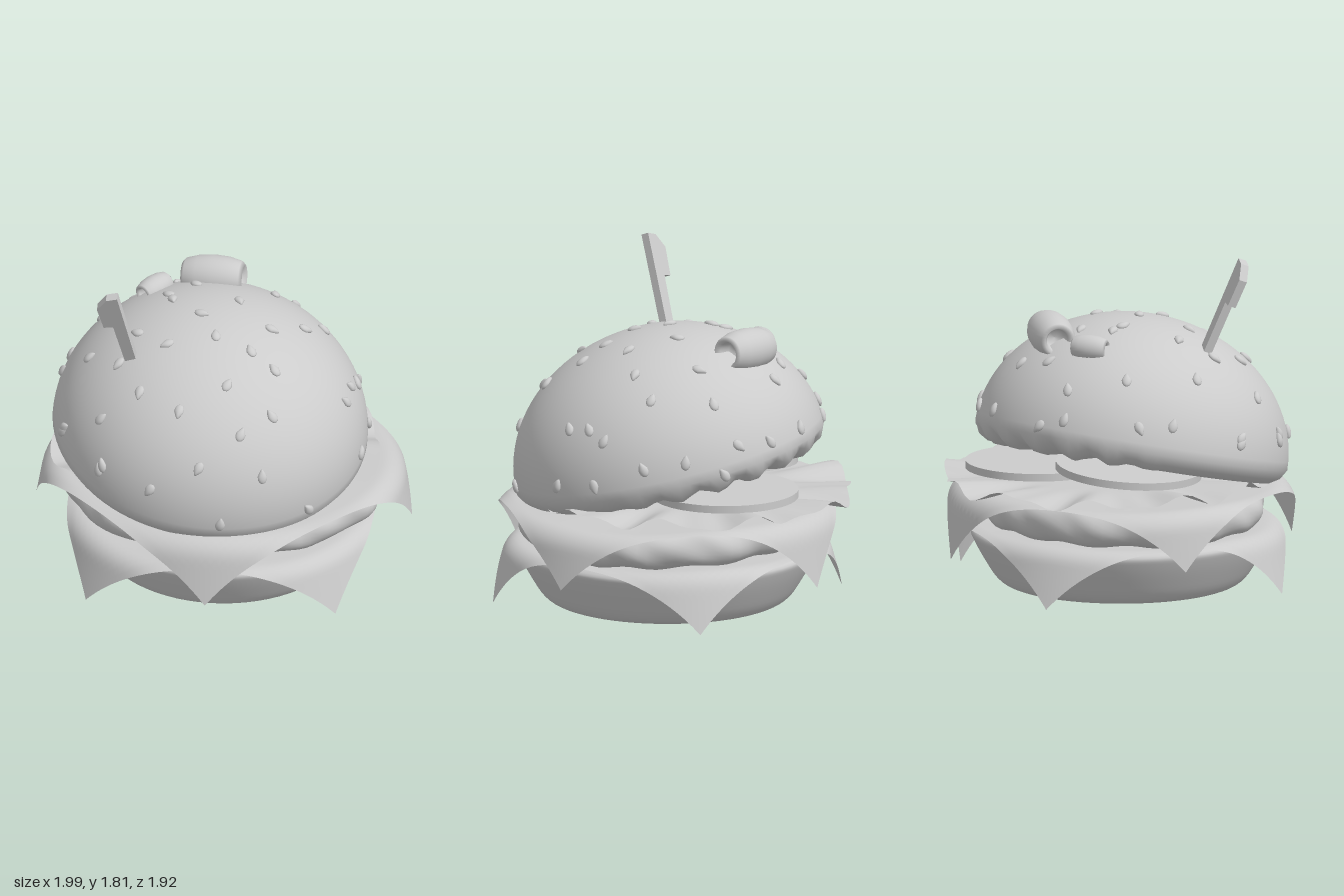
import * as THREE from 'three';
import { mergeVertices } from 'three/addons/utils/BufferGeometryUtils.js';

const mat = new THREE.MeshStandardMaterial({ color: 0xcccccc });
const sheetMat = new THREE.MeshStandardMaterial({ color: 0xcccccc, side: THREE.DoubleSide });

function mesh(name, geometry, material = mat) {
  const m = new THREE.Mesh(geometry, material);
  m.name = name;
  return m;
}

// Move every vertex by a rule, then weld and smooth
function reshape(g, rule) {
  const p = g.attributes.position, v = new THREE.Vector3();
  for (let i = 0; i < p.count; i++) {
    rule(v.fromBufferAttribute(p, i));
    p.setXYZ(i, v.x, v.y, v.z);
  }
  g.deleteAttribute('uv');
  g.deleteAttribute('normal');
  const w = mergeVertices(g, 1e-4);
  w.computeVertexNormals();
  return w;
}

const vec2 = (pts) => pts.map(([x, y]) => new THREE.Vector2(x, y));
const lathe = (pts, n = 64) => new THREE.LatheGeometry(vec2(pts), n);

// Square slice, flat in the middle and folding down beyond radius (rx, rz)
function cheese(name, half, turn, y, rx, rz, bend, maxAngle) {
  const g = new THREE.PlaneGeometry(2 * half, 2 * half, 48, 48).rotateX(-Math.PI / 2).rotateY(turn);
  return mesh(name, reshape(g, (v) => {
    const r = Math.hypot(v.x, v.z), a = Math.atan2(v.z, v.x);
    const r0 = Math.hypot(rx * Math.cos(a), rz * Math.sin(a));
    v.y = y + 0.006 * Math.sin(a * 5) * r;
    if (r <= r0) return;
    const t = Math.min((r - r0) / bend, maxAngle);
    const rest = r - r0 - t * bend;
    const out = r0 + bend * Math.sin(t) + rest * Math.cos(maxAngle);
    v.y -= bend * (1 - Math.cos(t)) + rest * Math.sin(maxAngle);
    v.x = out * Math.cos(a);
    v.z = out * Math.sin(a);
  }), sheetMat);
}

const BUN_R = 0.83, BUN_H = 0.7;

// Tilted top bun with a scalloped rim at the back
function topBun() {
  const pts = [[0, -0.07], [0.35, -0.07], [0.6, -0.075], [0.69, -0.085], [0.75, -0.08], [0.8, -0.05]];
  for (let i = 0; i <= 24; i++) {
    const t = (i / 24) * Math.PI / 2;
    pts.push([i === 24 ? 0 : BUN_R * Math.cos(t), BUN_H * Math.sin(t)]);
  }
  return mesh('topBun', reshape(lathe(pts, 96), (v) => {
    const r = Math.hypot(v.x, v.z), a = Math.atan2(v.z, v.x);
    const back = THREE.MathUtils.smoothstep(-v.z, 0, 0.5);
    if (v.y < 0 && r > 0.5) v.y += back * 0.02 * Math.sin(a * 22);
  }));
}

// Teardrop seed, point along +z, lying on its local y axis
function seedGeometry() {
  return reshape(new THREE.SphereGeometry(1, 12, 8), (v) => {
    v.x *= 0.026 * (1 - 0.5 * Math.max(0, v.z) - 0.1 * v.z);
    v.y *= 0.017;
    v.z *= 0.041;
  });
}

function addSeeds(bun) {
  // x, z seen from above
  const spots = [
    -0.12, -0.6, -0.53, -0.49, -0.3, -0.51, -0.18, -0.29, 0.32, -0.51, 0.55, -0.49, 0.23, -0.36,
    0.5, -0.24, -0.66, -0.21, -0.31, -0.16, -0.28, -0.09, 0.07, -0.11, 0.42, -0.08, -0.85, -0.02,
    -0.11, 0.06, 0.26, 0.07, 0.67, 0.04, -0.69, 0.17, -0.44, 0.16, -0.02, 0.22, 0.17, 0.27,
    -0.27, 0.28, 0.66, 0.17, -0.8, 0.38, -0.52, 0.33, 0.3, 0.33, -0.59, 0.54, -0.39, 0.52,
    0.07, 0.49, 0.31, 0.55, -0.17, 0.63, 0.16, 0.67, -0.57, 0.67, -0.05, 0.8, 0.28, 0.74,
    0.41, -0.64, -0.5, -0.64, 0.13, -0.74,
  ];
  // angle around the bun (from +x towards +z) and height, for the steep flank
  const flank = [1.41, 0.08, 1.9, 0.2, 0.8, 0.06, 0.2, 0.1, -0.1, 0.08, -0.45, 0.13, -0.2, 0.3,
    -1.1, 0.12, -1.65, 0.08, -2.3, 0.1, -2.8, 0.12, 2.75, 0.12, 2.3, 0.16];
  const points = [];
  bun.updateMatrixWorld(true);
  const p = new THREE.Vector3();
  for (let i = 0; i < spots.length; i += 2) {
    for (let y = 1.5; y > 0.7; y -= 0.004) {
      bun.worldToLocal(p.set(spots[i], y, spots[i + 1]));
      if (p.y > 0 && (p.x ** 2 + p.z ** 2) / BUN_R ** 2 + (p.y / BUN_H) ** 2 <= 1) {
        points.push(p.clone());
        break;
      }
    }
  }
  for (let i = 0; i < flank.length; i += 2) {
    const r = BUN_R * Math.sqrt(1 - (flank[i + 1] / BUN_H) ** 2);
    points.push(new THREE.Vector3(r * Math.cos(flank[i]), flank[i + 1], r * Math.sin(flank[i])));
  }
  const seeds = new THREE.Group(), geometry = seedGeometry(), up = new THREE.Vector3(0, 1, 0);
  seeds.name = 'sesameSeeds';
  points.forEach((q, i) => {
    const s = mesh('seed', geometry);
    const n = new THREE.Vector3(q.x / BUN_R ** 2, q.y / BUN_H ** 2, q.z / BUN_R ** 2).normalize();
    s.position.copy(q).addScaledVector(n, 0.005);
    s.quaternion.setFromUnitVectors(up, n);
    s.rotateY(Math.atan2(q.x, q.z) + 0.6 * Math.sin(i * 2.4) + (i % 3 ? Math.PI : 0));
    seeds.add(s);
  });
  bun.add(seeds);
}

// Barrel-shaped olive, hollowed at both ends
function olive(name, length, r, pos, yaw, pitch) {
  const h = length / 2;
  const pts = [[0, -h * 0.45], [r * 0.42, -h * 0.5], [r * 0.5, -h * 0.85], [r * 0.62, -h], [r * 0.78, -h * 0.9], [r * 0.94, -h * 0.5]];
  const all = [...pts, [r, 0], ...pts.map(([x, y]) => [x, -y]).reverse()];
  const o = mesh(name, lathe(all, 32).rotateZ(Math.PI / 2));
  o.position.set(...pos);
  o.rotation.set(0, yaw, pitch, 'YZX');
  return o;
}

function tomato(pos, tiltX, tiltZ) {
  const t = mesh('tomatoSlice', new THREE.CylinderGeometry(0.385, 0.385, 0.04, 48));
  t.position.set(...pos);
  t.rotation.set(tiltX, 0, tiltZ);
  return t;
}

export function createModel() {
  const burger = new THREE.Group();
  burger.name = 'burger';

  // Bottom bun
  const profile = new THREE.SplineCurve(vec2([[0.5, 0], [0.6, 0.012], [0.66, 0.05], [0.72, 0.14], [0.775, 0.24], [0.79, 0.29], [0.75, 0.325]]));
  const pts = [[0, 0], ...profile.getPoints(24).map((p) => [p.x, p.y]), [0, 0.325]];
  burger.add(mesh('bottomBun', lathe(pts)));

  // Lumpy oval patty between two cheese slices
  burger.add(cheese('lowerCheese', 0.81, 0, 0.335, 0.77, 0.77, 0.1, 1.3));
  const side = [[0, 0.34], [0.35, 0.34], [0.65, 0.34], [0.76, 0.345]];
  for (let i = 1; i < 12; i++) {
    const t = -Math.PI / 2 + (i / 12) * Math.PI;
    side.push([0.76 + 0.09 * Math.cos(t), 0.445 + 0.098 * Math.sin(t)]);
  }
  side.push([0.76, 0.543], [0.4, 0.545], [0, 0.545]);
  burger.add(mesh('patty', reshape(lathe(side, 96), (v) => {
    const a = Math.atan2(v.z, v.x), edge = THREE.MathUtils.smoothstep(Math.hypot(v.x, v.z), 0.5, 0.8);
    const k = 1 + edge * (0.01 * Math.sin(a * 9 + v.y * 14) + 0.008 * Math.sin(a * 17 - v.y * 25));
    v.x *= k;
    v.z *= k * 0.87;
    v.y += edge * 0.008 * Math.sin(a * 13);
  })));
  burger.add(cheese('upperCheese', 0.86, Math.PI / 4, 0.553, 0.84, 0.79, 0.12, 1.4));

  // Ruffled lettuce, sticking out at the back
  const leaf = new THREE.RingGeometry(0.001, 0.85, 120, 14).rotateX(-Math.PI / 2);
  const lettuce = mesh('lettuce', reshape(leaf, (v) => {
    const a = Math.atan2(v.z, v.x), f = THREE.MathUtils.smoothstep(Math.hypot(v.x, v.z), 0.4, 0.85);
    const k = 1 + f * (0.025 * Math.sin(a * 7 + 1) + 0.012 * Math.sin(a * 16));
    v.x *= k;
    v.z *= k;
    v.y = f * (0.026 * Math.sin(a * 11) + 0.014 * Math.sin(a * 19 + 2));
  }), sheetMat);
  lettuce.position.set(-0.06, 0.605, -0.11);
  burger.add(lettuce);

  // Tomato slices, one resting on the other
  burger.add(tomato([0.09, 0.655, -0.43], 0, 0));
  burger.add(tomato([-0.39, 0.695, -0.1], 0.05, 0.06));

  // Top bun with seeds
  const bun = topBun();
  bun.position.set(-0.07, 0.75, 0.03);
  bun.rotation.set(0.21, 0, -0.1);
  addSeeds(bun);
  burger.add(bun);

  // Olives
  burger.add(olive('largeOlive', 0.33, 0.115, [-0.1, 1.385, -0.43], -0.1, 0.05));
  burger.add(olive('smallOlive', 0.19, 0.07, [-0.4, 1.36, -0.32], 0.9, 0.05));

  // Flag pick leaning forward
  const flag = new THREE.Shape(vec2([[0.03, -0.06], [-0.03, -0.06], [-0.09, 0.27], [-0.14, 0.26], [-0.17, 0.41], [-0.12, 0.49], [-0.06, 0.51]]));
  const pick = mesh('flagPick', new THREE.ExtrudeGeometry(flag, { depth: 0.045, bevelEnabled: false }));
  pick.position.set(-0.45, 1.33, 0.29);
  pick.rotation.x = 0.36;
  burger.add(pick);

  return burger;
}
